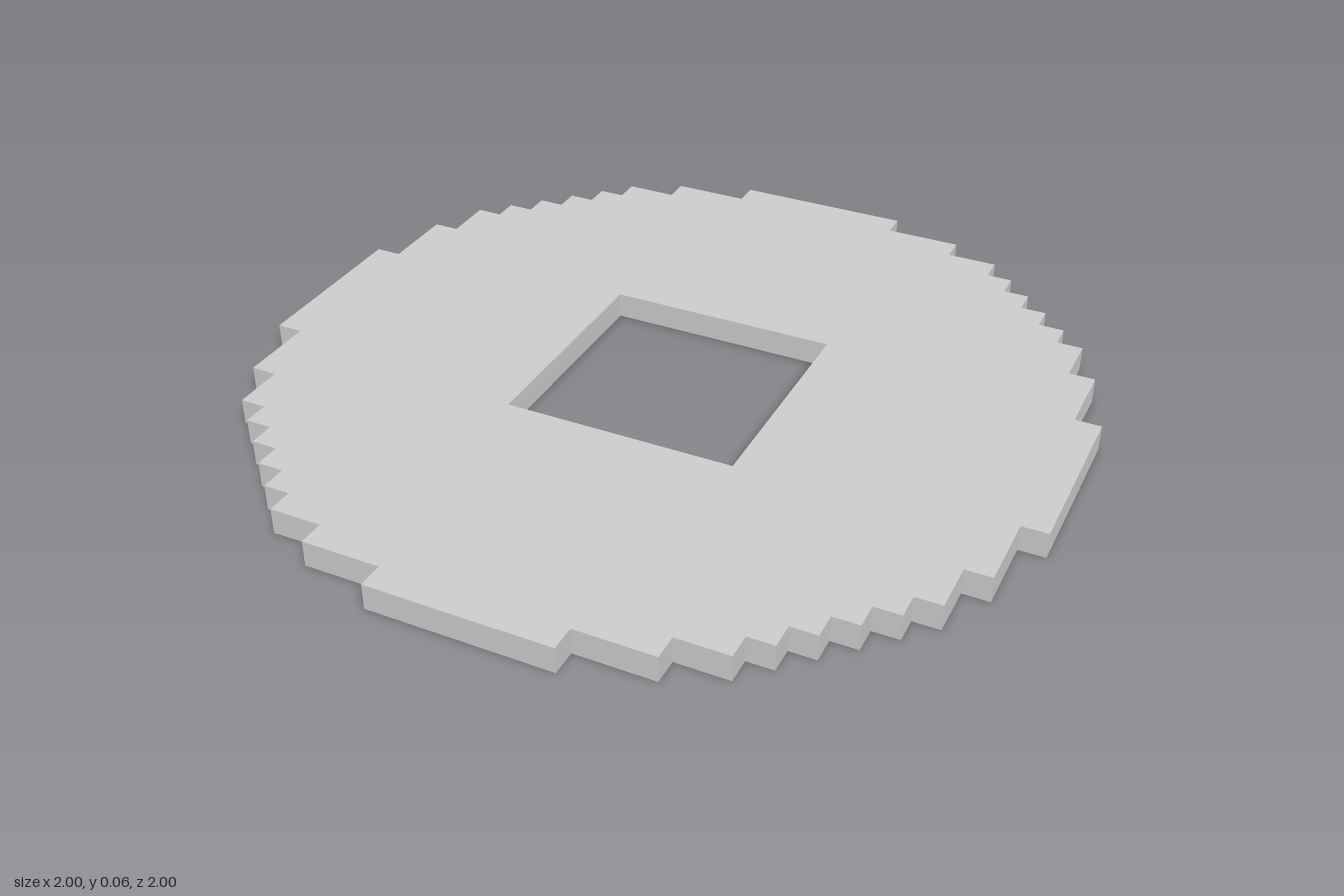
import * as THREE from 'three';

// The disc is laid out on a 31-cell square grid, one cell thick
const CELL = 2 / 31;

// Outer corners of one stepped quadrant, in cells from the centre
const STEPS = [
  [15.5, 3.5], [14.5, 6.5], [13.5, 8.5], [12.5, 9.5], [11.5, 10.5],
  [10.5, 11.5], [9.5, 12.5], [8.5, 13.5], [6.5, 14.5], [3.5, 15.5],
];
const HOLE = 4.5 * CELL;

// Stepped rim: the quadrant with its inner corners, turned four times
function steppedOutline() {
  const quadrant = [];
  STEPS.forEach(([x, y], i) => {
    quadrant.push(new THREE.Vector2(x, y));
    if (i < STEPS.length - 1) quadrant.push(new THREE.Vector2(STEPS[i + 1][0], y));
  });
  const points = [];
  for (let turn = 0; turn < 4; turn++) {
    for (const p of quadrant) {
      let { x, y } = p;
      for (let k = 0; k < turn; k++) [x, y] = [-y, x];
      points.push(new THREE.Vector2(x * CELL, y * CELL));
    }
  }
  return points;
}

export function createModel() {
  const group = new THREE.Group();
  group.name = 'steppedDisc';

  // Flat plate with a square opening through the middle
  const shape = new THREE.Shape(steppedOutline());
  shape.holes.push(new THREE.Path([
    new THREE.Vector2(-HOLE, -HOLE), new THREE.Vector2(-HOLE, HOLE),
    new THREE.Vector2(HOLE, HOLE), new THREE.Vector2(HOLE, -HOLE),
  ]));
  const geometry = new THREE.ExtrudeGeometry(shape, { depth: CELL, bevelEnabled: false });
  geometry.rotateX(-Math.PI / 2);

  const plate = new THREE.Mesh(
    geometry,
    new THREE.MeshStandardMaterial({ color: 0xcccccc, flatShading: true }),
  );
  plate.name = 'plate';
  group.add(plate);
  return group;
}
